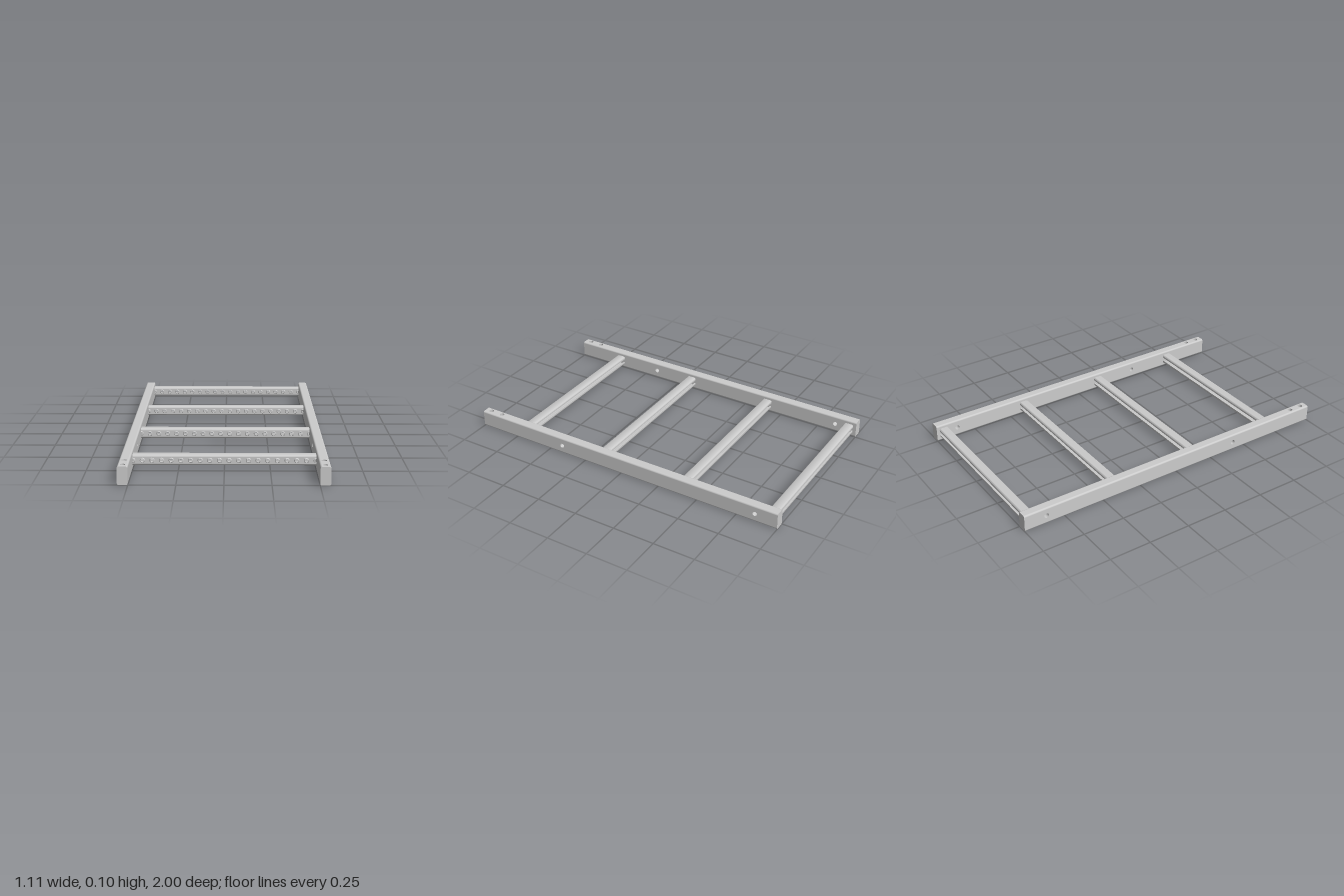
import * as THREE from 'three';
import { mergeGeometries, toCreasedNormals } from 'three/addons/utils/BufferGeometryUtils.js';

const RAIL = { x: 0.5285, w: 0.057, h: 0.1, r: 0.01, len: 2 };
const HOLE = 0.014;
const SIDE_HOLES = [0.41, -0.865]; // z of the cross holes
const TOP_HOLES = [0.88, 0.96]; // z of the vertical holes
const RUNG_Z = [0.722, 0.173, -0.376, -0.925]; // front face of each rung
const RUNG_LEN = 1.03;
const PITCH = 0.0525;

const grey = new THREE.MeshStandardMaterial({ color: 0xcccccc, side: THREE.DoubleSide });

function add(parent, geometry, name) {
  const mesh = new THREE.Mesh(geometry, grey);
  mesh.name = name;
  parent.add(mesh);
  return mesh;
}

// Rectangle centred on the origin with round holes
function panel(w, h, holes, radius) {
  const s = new THREE.Shape();
  s.moveTo(-w / 2, -h / 2).lineTo(w / 2, -h / 2).lineTo(w / 2, h / 2).lineTo(-w / 2, h / 2).closePath();
  for (const [x, y] of holes) s.holes.push(new THREE.Path().absarc(x, y, radius, 0, Math.PI * 2, true));
  return s;
}

// Rail: four pierced faces, four rounded edges, end caps and bores
function makeRail(name) {
  const { w, h, r, len } = RAIL;
  const rail = new THREE.Group();
  rail.name = name;
  const skin = [];
  for (const s of [1, -1]) {
    const side = new THREE.ShapeGeometry(panel(len, h - 2 * r, SIDE_HOLES.map(z => [-s * z, 0]), HOLE), 10);
    skin.push(side.rotateY(s * Math.PI / 2).translate(s * w / 2, 0, 0));
    const flat = new THREE.ShapeGeometry(panel(w - 2 * r, len, TOP_HOLES.map(z => [0, -s * z]), HOLE), 10);
    skin.push(flat.rotateX(-s * Math.PI / 2).translate(0, s * h / 2, 0));
  }
  [[1, -1], [1, 1], [-1, 1], [-1, -1]].forEach(([sx, sy], i) => {
    const edge = new THREE.CylinderGeometry(r, r, len, 6, 1, true, i * Math.PI / 2, Math.PI / 2);
    skin.push(edge.rotateX(Math.PI / 2).translate(sx * (w / 2 - r), sy * (h / 2 - r), 0));
  });
  add(rail, mergeGeometries(skin), 'railBody');

  const cap = new THREE.Shape();
  [[1, 1], [-1, 1], [-1, -1], [1, -1]].forEach(([sx, sy], i) =>
    cap.absarc(sx * (w / 2 - r), sy * (h / 2 - r), r, i * Math.PI / 2, (i + 1) * Math.PI / 2, false));
  for (const s of [1, -1]) {
    const geometry = new THREE.ShapeGeometry(cap, 6);
    if (s < 0) geometry.rotateY(Math.PI);
    add(rail, geometry.translate(0, 0, s * len / 2), s > 0 ? 'frontEndCap' : 'backEndCap');
  }

  const bore = length => new THREE.CylinderGeometry(HOLE, HOLE, length, 20, 1, true);
  for (const z of SIDE_HOLES) add(rail, bore(w).rotateZ(Math.PI / 2).translate(0, 0, z), 'crossBore');
  for (const z of TOP_HOLES) add(rail, bore(h).translate(0, 0, z), 'verticalBore');
  return rail;
}

// Half of the lipped channel: x is depth behind the front face, sy picks upper or lower
function channelHalf(sy) {
  const s = new THREE.Shape();
  s.moveTo(0, 0.019);
  s.absarc(0.01, 0.019, 0.01, Math.PI, Math.PI / 2, true);
  s.absarc(0.046, 0.019, 0.01, Math.PI / 2, 0, true);
  s.lineTo(0.056, 0.011).lineTo(0.048, 0.011).lineTo(0.048, 0.015).lineTo(0.052, 0.015);
  s.absarc(0.046, 0.019, 0.006, 0, Math.PI / 2, false);
  s.absarc(0.01, 0.019, 0.006, Math.PI / 2, Math.PI, false);
  s.closePath();
  const points = s.getPoints(5).map(p => new THREE.Vector2(p.x, p.y * sy));
  const geometry = new THREE.ExtrudeGeometry(new THREE.Shape(points), { depth: RUNG_LEN, bevelEnabled: false });
  geometry.translate(0, 0, -RUNG_LEN / 2).rotateY(Math.PI / 2);
  return toCreasedNormals(geometry, 0.6);
}

// Rung: channel open to the back, with a row of flanged holes along the front
function makeRung() {
  const rung = new THREE.Group();
  rung.name = 'rung';
  add(rung, channelHalf(1), 'upperFlange');
  add(rung, channelHalf(-1), 'lowerFlange');

  const xs = Array.from({ length: 20 }, (_, i) => (i - 9.5) * PITCH);
  const web = new THREE.ExtrudeGeometry(panel(RUNG_LEN, 0.038, xs.map(x => [x, 0]), 0.0105),
    { depth: 0.004, bevelEnabled: false, curveSegments: 8 });
  add(rung, toCreasedNormals(web, 0.6).translate(0, 0, -0.004), 'piercedFront');

  const profile = [[0.0095, -0.004], [0.0095, 0.005], [0.0115, 0.005], [0.0145, 0]]
    .map(([x, y]) => new THREE.Vector2(x, y)).reverse();
  const collar = toCreasedNormals(new THREE.LatheGeometry(profile, 16).rotateX(Math.PI / 2), 0.6);
  add(rung, mergeGeometries(xs.map(x => collar.clone().translate(x, 0, 0))), 'holeCollars');
  return rung;
}

export function createModel() {
  const model = new THREE.Group();
  model.name = 'ladderSection';
  for (const s of [1, -1]) {
    const rail = makeRail(s > 0 ? 'leftRail' : 'rightRail');
    rail.position.set(s * RAIL.x, RAIL.h / 2, 0);
    model.add(rail);
  }
  for (const z of RUNG_Z) {
    const rung = makeRung();
    rung.position.set(0, 0.051, z);
    model.add(rung);
  }
  return model;
}
